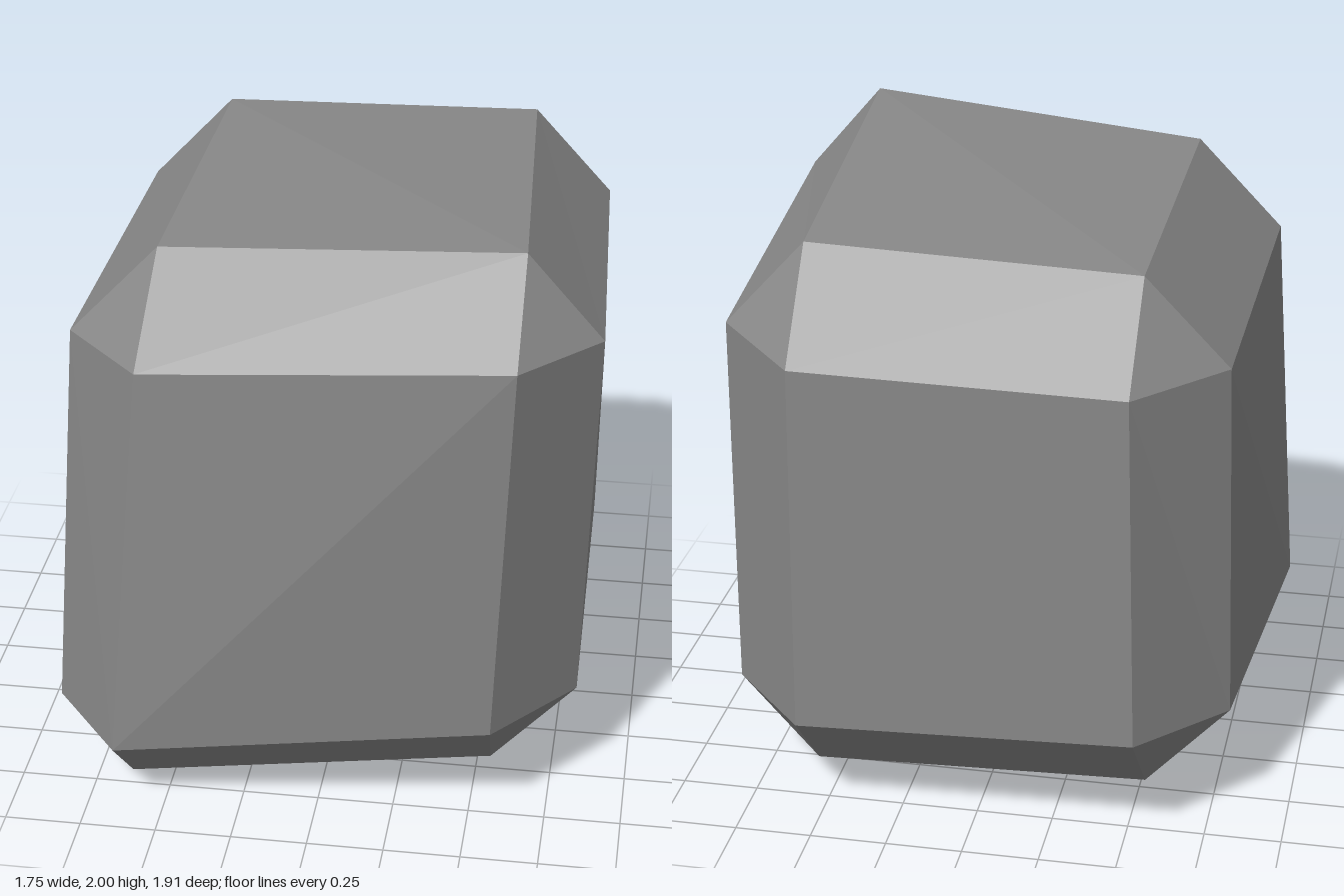
import * as THREE from 'three';

// Each uneven corner of the block is cut to three points, lying on its x, y and z side.
// Keys give the signs of x, y, z.
const corners = {
  '+++': [[0.87, 1.72, 0.67], [0.63, 2.0, 0.68], [0.63, 1.73, 0.95]],
  '-++': [[-0.795, 1.61, 0.61], [-0.51, 1.91, 0.6], [-0.53, 1.625, 0.905]],
  '++-': [[0.81, 1.63, -0.66], [0.55, 1.915, -0.66], [0.54, 1.605, -0.95]],
  '-+-': [[-0.78, 1.6, -0.67], [-0.51, 1.885, -0.68], [-0.51, 1.59, -0.955]],
  '+-+': [[0.83, 0.405, 0.58], [0.555, 0.102, 0.575], [0.575, 0.4, 0.88]],
  '--+': [[-0.875, 0.28, 0.67], [-0.64, 0, 0.68], [-0.64, 0.27, 0.955]],
  '+--': [[0.81, 0.38, -0.665], [0.555, 0.095, -0.665], [0.55, 0.375, -0.95]],
  '---': [[-0.81, 0.41, -0.65], [-0.54, 0.12, -0.65], [-0.54, 0.415, -0.95]],
};
const centre = new THREE.Vector3(0, 1, 0);

// Point of the corner with the given signs that lies on the side facing 'axis'
function point(signs, axis) {
  const key = signs.map((s) => (s > 0 ? '+' : '-')).join('');
  return new THREE.Vector3(...corners[key][axis]);
}

// Signs of a corner, given its sign along three axes
function signsOf(a, sa, b, sb, c, sc) {
  const signs = [0, 0, 0];
  signs[a] = sa;
  signs[b] = sb;
  signs[c] = sc;
  return signs;
}

// Adds a polygon as a fan, turned to face away from the centre
function addFace(positions, pts) {
  const normal = new THREE.Vector3()
    .subVectors(pts[1], pts[0])
    .cross(new THREE.Vector3().subVectors(pts[2], pts[0]));
  if (normal.dot(pts[0].clone().sub(centre)) < 0) pts.reverse();
  for (let i = 1; i < pts.length - 1; i++) {
    for (const p of [pts[0], pts[i], pts[i + 1]]) positions.push(p.x, p.y, p.z);
  }
}

function makeMesh(name, positions, material) {
  const geometry = new THREE.BufferGeometry();
  geometry.setAttribute('position', new THREE.Float32BufferAttribute(positions, 3));
  geometry.computeVertexNormals();
  const mesh = new THREE.Mesh(geometry, material);
  mesh.name = name;
  return mesh;
}

export function createModel() {
  const group = new THREE.Group();
  group.name = 'bevelledStoneBlock';
  const stone = new THREE.MeshStandardMaterial({ color: 0x888888, flatShading: true });
  stone.name = 'stoneGrey';

  const sides = [], bevels = [], cornerCuts = [];
  const ring = [[-1, -1], [1, -1], [1, 1], [-1, 1]];

  for (let a = 0; a < 3; a++) {
    const b = (a + 1) % 3, c = (a + 2) % 3;
    // Two broad sides facing along this axis
    for (const s of [-1, 1]) {
      addFace(sides, ring.map(([sb, sc]) => point(signsOf(a, s, b, sb, c, sc), a)));
    }
    // Four edge bevels running along this axis
    for (const [sb, sc] of ring) {
      const low = signsOf(a, -1, b, sb, c, sc);
      const high = signsOf(a, 1, b, sb, c, sc);
      addFace(bevels, [point(low, b), point(high, b), point(high, c), point(low, c)]);
    }
  }

  // Triangular cut at every corner
  for (const pts of Object.values(corners)) {
    addFace(cornerCuts, pts.map((p) => new THREE.Vector3(...p)));
  }

  group.add(
    makeMesh('sides', sides, stone),
    makeMesh('edgeBevels', bevels, stone),
    makeMesh('cornerCuts', cornerCuts, stone),
  );
  return group;
}
